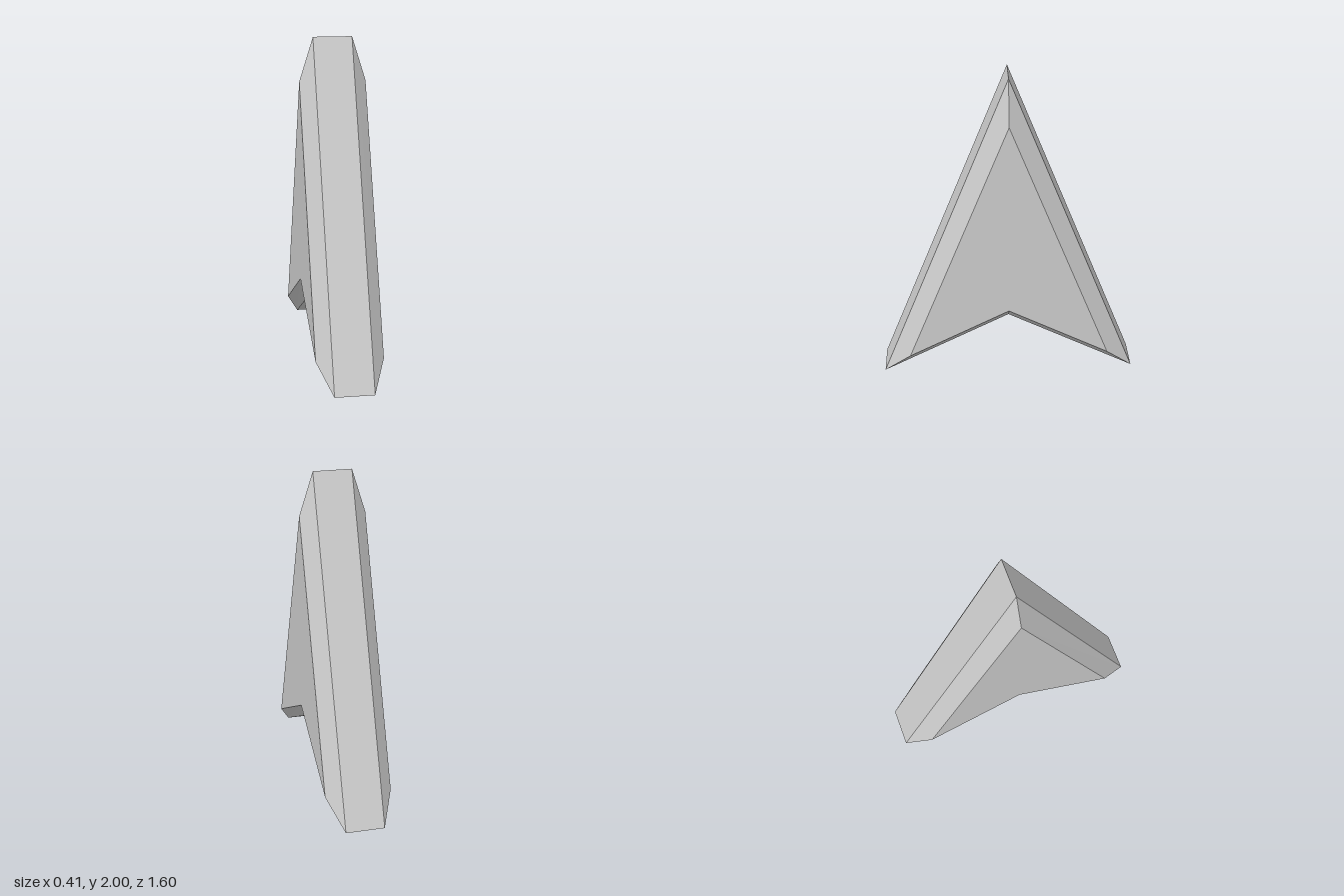
import * as THREE from 'three';

// Outlines as [z, y]: tip, front barb, notch, back barb
const rim = [[0, 2], [0.8, 0], [0, 0.405], [-0.8, 0]];
const face = [[0, 1.73], [0.63, 0.16], [0, 0.48], [-0.63, 0.16]];

// Cross-sections from the model's right to its left
const sections = [
  { x: -0.205, outline: face },
  { x: -0.12, outline: rim },
  { x: 0.12, outline: rim },
  { x: 0.205, outline: face },
];

function bevelledArrowhead() {
  const positions = [];
  const indices = [];
  for (const { x, outline } of sections) {
    for (const [z, y] of outline) positions.push(x, y, z);
  }

  // Bevels and rim between neighbouring sections
  const n = rim.length;
  for (let s = 0; s < sections.length - 1; s++) {
    for (let j = 0; j < n; j++) {
      const a = s * n + j;
      const b = s * n + (j + 1) % n;
      indices.push(a, b, b + n, a, b + n, a + n);
    }
  }

  // Flat side faces, split from tip to notch
  const last = (sections.length - 1) * n;
  indices.push(0, 2, 1, 0, 3, 2);
  indices.push(last, last + 1, last + 2, last, last + 2, last + 3);

  const indexed = new THREE.BufferGeometry();
  indexed.setAttribute('position', new THREE.Float32BufferAttribute(positions, 3));
  indexed.setIndex(indices);
  const geometry = indexed.toNonIndexed();
  geometry.computeVertexNormals();
  return geometry;
}

export function createModel() {
  const group = new THREE.Group();
  group.name = 'arrowPointer';
  const material = new THREE.MeshStandardMaterial({ color: 0xcccccc, flatShading: true });
  const arrowhead = new THREE.Mesh(bevelledArrowhead(), material);
  arrowhead.name = 'arrowhead';
  group.add(arrowhead);
  return group;
}
